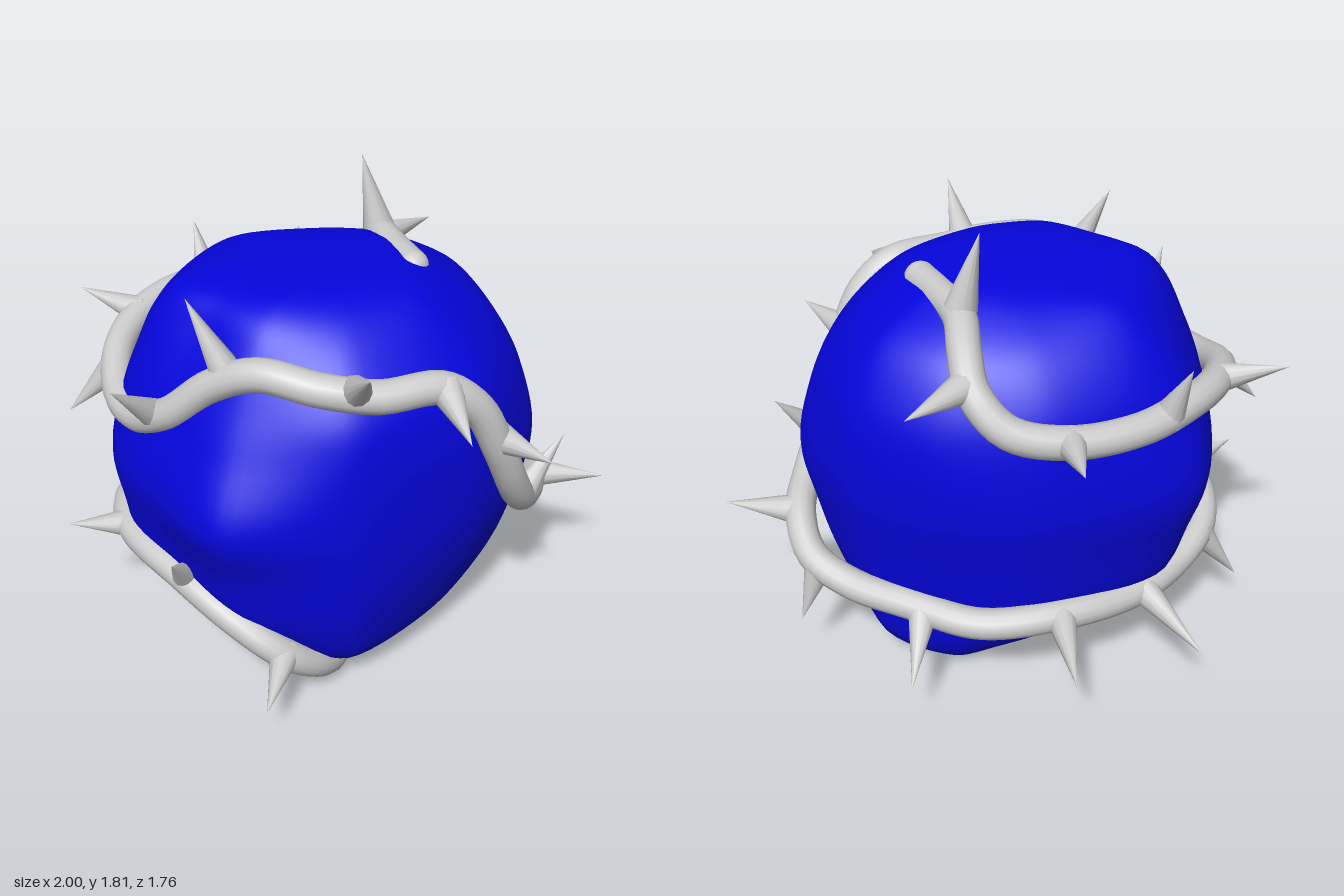
import * as THREE from 'three';

const V = (a) => new THREE.Vector3(...a);
const grey = new THREE.MeshStandardMaterial({ color: 0xcccccc, side: THREE.DoubleSide });
const blue = new THREE.MeshStandardMaterial({ color: 0x0505dd });

// Rock sections: [height, radius at each angle], angles run from +x towards +z
const ANGLES = [0, 45, 79, 105, 133, 180, 225, 262, 293, 325];
const SECTIONS = [
  [0.015, [0.33, 0.25, 0.18, 0.13, 0.12, 0.09, 0.15, 0.38, 0.45, 0.43]],
  [0.05, [0.41, 0.43, 0.34, 0.27, 0.29, 0.19, 0.3, 0.47, 0.54, 0.49]],
  [0.15, [0.51, 0.59, 0.54, 0.48, 0.56, 0.44, 0.45, 0.54, 0.61, 0.57]],
  [0.35, [0.6, 0.67, 0.69, 0.67, 0.75, 0.67, 0.57, 0.58, 0.65, 0.68]],
  [0.6, [0.68, 0.71, 0.76, 0.74, 0.8, 0.76, 0.62, 0.62, 0.69, 0.75]],
  [0.84, [0.71, 0.72, 0.84, 0.79, 0.83, 0.82, 0.66, 0.66, 0.72, 0.79]],
  [1.1, [0.7, 0.7, 0.73, 0.71, 0.77, 0.76, 0.64, 0.65, 0.7, 0.73]],
  [1.25, [0.65, 0.66, 0.65, 0.64, 0.71, 0.69, 0.6, 0.61, 0.65, 0.66]],
  [1.4, [0.53, 0.55, 0.56, 0.55, 0.64, 0.58, 0.5, 0.52, 0.55, 0.54]],
  [1.5, [0.41, 0.42, 0.47, 0.48, 0.55, 0.45, 0.35, 0.37, 0.39, 0.39]],
  [1.55, [0.28, 0.28, 0.35, 0.35, 0.32, 0.2, 0.19, 0.23, 0.26, 0.26]],
];

function rockGeometry(around = 80, rows = 60) {
  const loops = SECTIONS.map(([y, radii]) => new THREE.CatmullRomCurve3(
    radii.map((r, k) => {
      const a = THREE.MathUtils.degToRad(ANGLES[k]);
      return new THREE.Vector3(r * Math.cos(a), y, r * Math.sin(a));
    }), true, 'catmullrom', 0.4));
  const pos = [], index = [];
  for (let i = 0; i < around; i++) {
    const rib = new THREE.CatmullRomCurve3([
      V([0.08, 0, -0.2]), ...loops.map((loop) => loop.getPoint(i / around)), V([0.06, 1.57, 0.06]),
    ]);
    for (let j = 0; j <= rows; j++) {
      const p = rib.getPoint(j / rows);
      pos.push(p.x, Math.max(0, p.y), p.z);
    }
  }
  const at = (i, j) => (i % around) * (rows + 1) + j;
  for (let i = 0; i < around; i++) {
    for (let j = 0; j < rows; j++) {
      if (j > 0) index.push(at(i, j), at(i, j + 1), at(i + 1, j));
      if (j < rows - 1) index.push(at(i + 1, j), at(i, j + 1), at(i + 1, j + 1));
    }
  }
  const g = new THREE.BufferGeometry();
  g.setAttribute('position', new THREE.Float32BufferAttribute(pos, 3));
  g.setIndex(index);
  g.computeVertexNormals();
  return g;
}

// Vine centre line, from the crown round the rock to its underside
const VINE = [
  [0.24, 1.505, -0.19], [0.11, 1.505, -0.27], [-0.03, 1.5, -0.37], [-0.12, 1.44, -0.49],
  [-0.2, 1.35, -0.57], [-0.33, 1.24, -0.57], [-0.5, 1.19, -0.46], [-0.67, 1.18, -0.25],
  [-0.76, 1.19, 0], [-0.765, 1.17, 0.2], [-0.7, 1.12, 0.4], [-0.54, 1.05, 0.57],
  [-0.38, 1.05, 0.64], [-0.2, 1.14, 0.66], [-0.02, 1.3, 0.62], [0.15, 1.38, 0.58],
  [0.35, 1.36, 0.51], [0.5, 1.33, 0.39], [0.63, 1.32, 0.2], [0.71, 1.22, 0.1],
  [0.76, 1.02, 0.01], [0.77, 0.83, -0.09], [0.75, 0.7, -0.2], [0.69, 0.61, -0.38],
  [0.61, 0.56, -0.54], [0.48, 0.47, -0.65], [0.3, 0.41, -0.66], [0.05, 0.39, -0.63],
  [-0.22, 0.37, -0.58], [-0.46, 0.38, -0.4], [-0.63, 0.36, -0.13], [-0.7, 0.37, 0.1],
  [-0.72, 0.42, 0.3], [-0.65, 0.47, 0.47], [-0.48, 0.475, 0.62], [-0.15, 0.44, 0.69],
  [0.08, 0.36, 0.69], [0.25, 0.25, 0.63], [0.31, 0.15, 0.52], [0.31, 0.085, 0.41],
  [0.28, 0.06, 0.31],
].map(V);

// Thorns, each given as base then tip
const THORNS = [
  [[-0.03, 1.53, -0.36], [-0.09, 1.81, -0.33]], [[-0.17, 1.37, -0.57], [-0.11, 1.37, -0.85]],
  [[-0.5, 1.19, -0.45], [-0.67, 1.24, -0.68]], [[-0.72, 1.18, -0.14], [-0.81, 1.41, -0.17]],
  [[-0.76, 1.17, 0.21], [-1, 1.24, 0.3]], [[-0.65, 1.09, 0.47], [-0.8, 0.89, 0.6]],
  [[-0.27, 1.1, 0.65], [-0.25, 1.31, 0.88]], [[0.02, 1.34, 0.59], [-0.11, 1.61, 0.64]],
  [[0.44, 1.35, 0.44], [0.61, 1.53, 0.6]], [[0.64, 1.32, 0.2], [0.84, 1.25, 0.35]],
  [[0.75, 1.07, 0.01], [1, 1.1, 0.08]], [[0.75, 0.7, -0.2], [0.82, 0.91, -0.38]],
  [[0.63, 0.56, -0.54], [0.88, 0.58, -0.66]], [[0.44, 0.45, -0.66], [0.48, 0.22, -0.75]],
  [[0.0, 0.385, -0.62], [-0.11, 0.24, -0.88]], [[-0.46, 0.38, -0.4], [-0.67, 0.35, -0.68]],
  [[-0.65, 0.36, -0.09], [-0.97, 0.29, -0.25]], [[-0.72, 0.42, 0.28], [-0.87, 0.19, 0.37]],
  [[-0.52, 0.47, 0.59], [-0.65, 0.53, 0.8]], [[-0.15, 0.44, 0.68], [-0.07, 0.63, 0.84]],
  [[0.26, 0.24, 0.61], [0.38, 0.2, 0.87]],
];

function spike(base, tip, radius) {
  const dir = tip.clone().sub(base), len = dir.length();
  const g = new THREE.ConeGeometry(radius, len, 12).translate(0, len / 2, 0);
  const m = new THREE.Mesh(g, grey);
  m.position.copy(base);
  m.quaternion.setFromUnitVectors(new THREE.Vector3(0, 1, 0), dir.normalize());
  return m;
}

export function createModel() {
  const model = new THREE.Group();

  const rock = new THREE.Mesh(rockGeometry(), blue);
  rock.name = 'rock';
  model.add(rock);

  const curve = new THREE.CatmullRomCurve3(VINE);
  const vine = new THREE.Mesh(new THREE.TubeGeometry(curve, 240, 0.06, 14), grey);
  vine.name = 'vine';
  model.add(vine);

  // Rounded ends of the vine
  for (const [name, p] of [['vineStart', VINE[0]], ['vineEnd', VINE[VINE.length - 1]]]) {
    const end = new THREE.Mesh(new THREE.SphereGeometry(0.06, 14, 10), grey);
    end.position.copy(p);
    end.name = name;
    model.add(end);
  }

  const thorns = new THREE.Group();
  thorns.name = 'thorns';
  THORNS.forEach(([base, tip], i) => {
    const thorn = spike(V(base), V(tip), 0.06);
    thorn.name = `thorn${i + 1}`;
    thorns.add(thorn);
  });
  model.add(thorns);
  return model;
}
